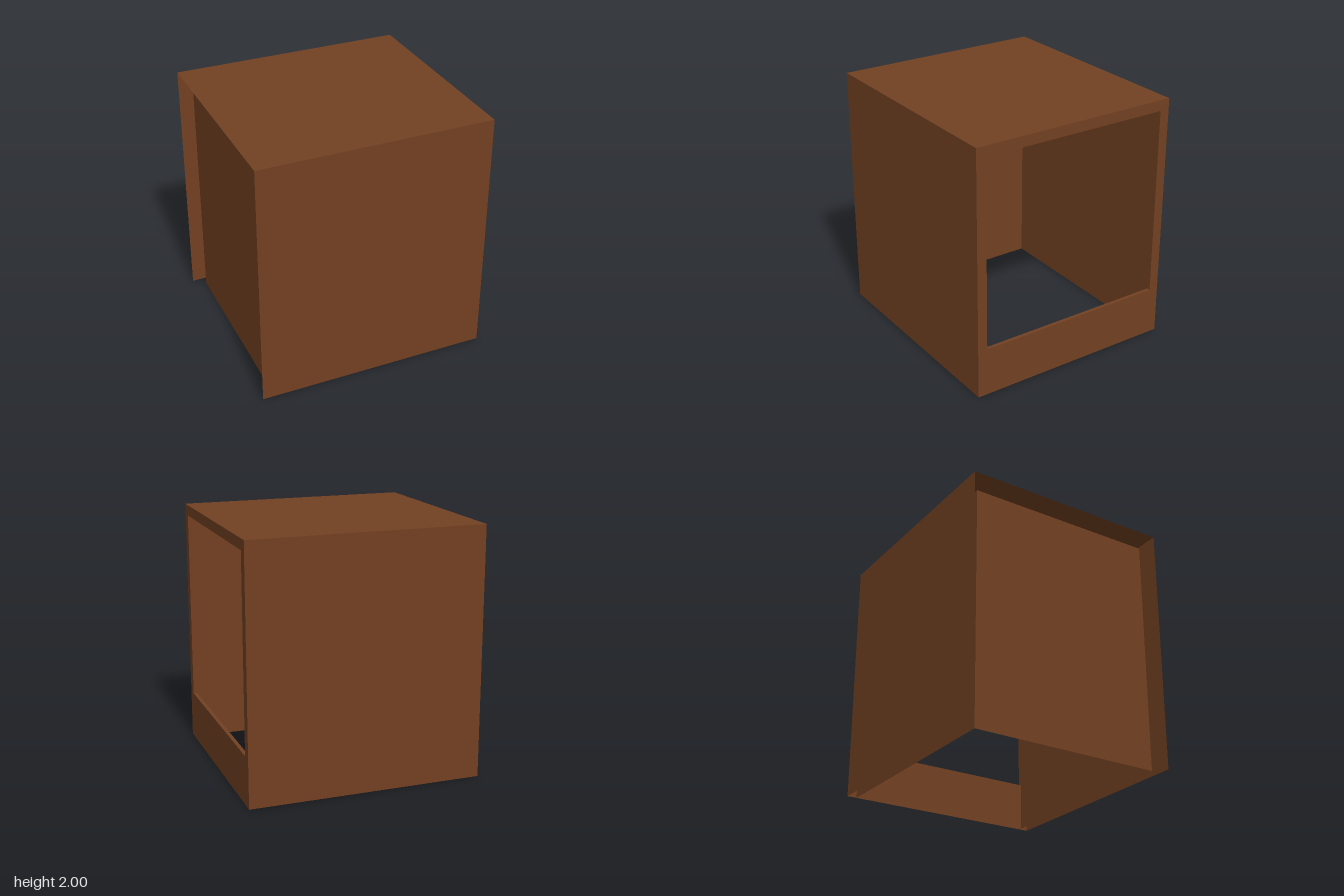
import * as THREE from 'three';

const X = 0.933, Z = 0.857, H = 2;          // outer shell
const IX = 0.838, IZ = 0.778, IH = 1.915;   // inner lining
const SILL = 0.39;                          // height of the low board

export function createModel() {
  const group = new THREE.Group();
  group.name = 'openCrate';
  const wood = new THREE.MeshStandardMaterial({ color: 0x724022, side: THREE.DoubleSide });
  wood.name = 'brown wood';

  const add = (name, geometry) => {
    const mesh = new THREE.Mesh(geometry, wood);
    mesh.name = name;
    group.add(mesh);
  };

  // Thin outer sheets and inner lining, mirrored front to back
  for (const [side, s] of [['front', 1], ['back', -1]]) {
    const turn = s > 0 ? 0 : Math.PI;
    add(side + 'OuterPanel',
      new THREE.PlaneGeometry(2 * X, H).rotateY(turn).translate(0, H / 2, s * Z));
    add(side + 'InnerPanel',
      new THREE.PlaneGeometry(X + IX, IH).rotateY(turn + Math.PI).translate((X - IX) / 2, IH / 2, s * IZ));
  }

  // Roof sheet and ceiling
  add('roof', new THREE.PlaneGeometry(2 * X, 2 * Z).rotateX(-Math.PI / 2).translate(0, H, 0));
  add('ceiling',
    new THREE.PlaneGeometry(X + IX, 2 * IZ).rotateX(Math.PI / 2).translate((X - IX) / 2, IH, 0));

  // Recessed closed side wall
  add('recessedSideWall',
    new THREE.PlaneGeometry(2 * IZ, IH).rotateY(-Math.PI / 2).translate(-IX, IH / 2, 0));

  // Open side: frame with a large opening above a low board
  const frame = new THREE.Shape([[-Z, 0], [Z, 0], [Z, H], [-Z, H]].map(p => new THREE.Vector2(...p)));
  frame.holes.push(new THREE.Path(
    [[-IZ, SILL], [-IZ, IH], [IZ, IH], [IZ, SILL]].map(p => new THREE.Vector2(...p))));
  add('openingFrame', new THREE.ShapeGeometry(frame).rotateY(Math.PI / 2).translate(X, 0, 0));

  // Top ledge and back face of the low board
  const t = 0.03;
  add('lowBoardLedge',
    new THREE.PlaneGeometry(t, 2 * IZ).rotateX(-Math.PI / 2).translate(X - t / 2, SILL, 0));
  add('lowBoardInside',
    new THREE.PlaneGeometry(2 * IZ, SILL).rotateY(-Math.PI / 2).translate(X - t, SILL / 2, 0));

  return group;
}
